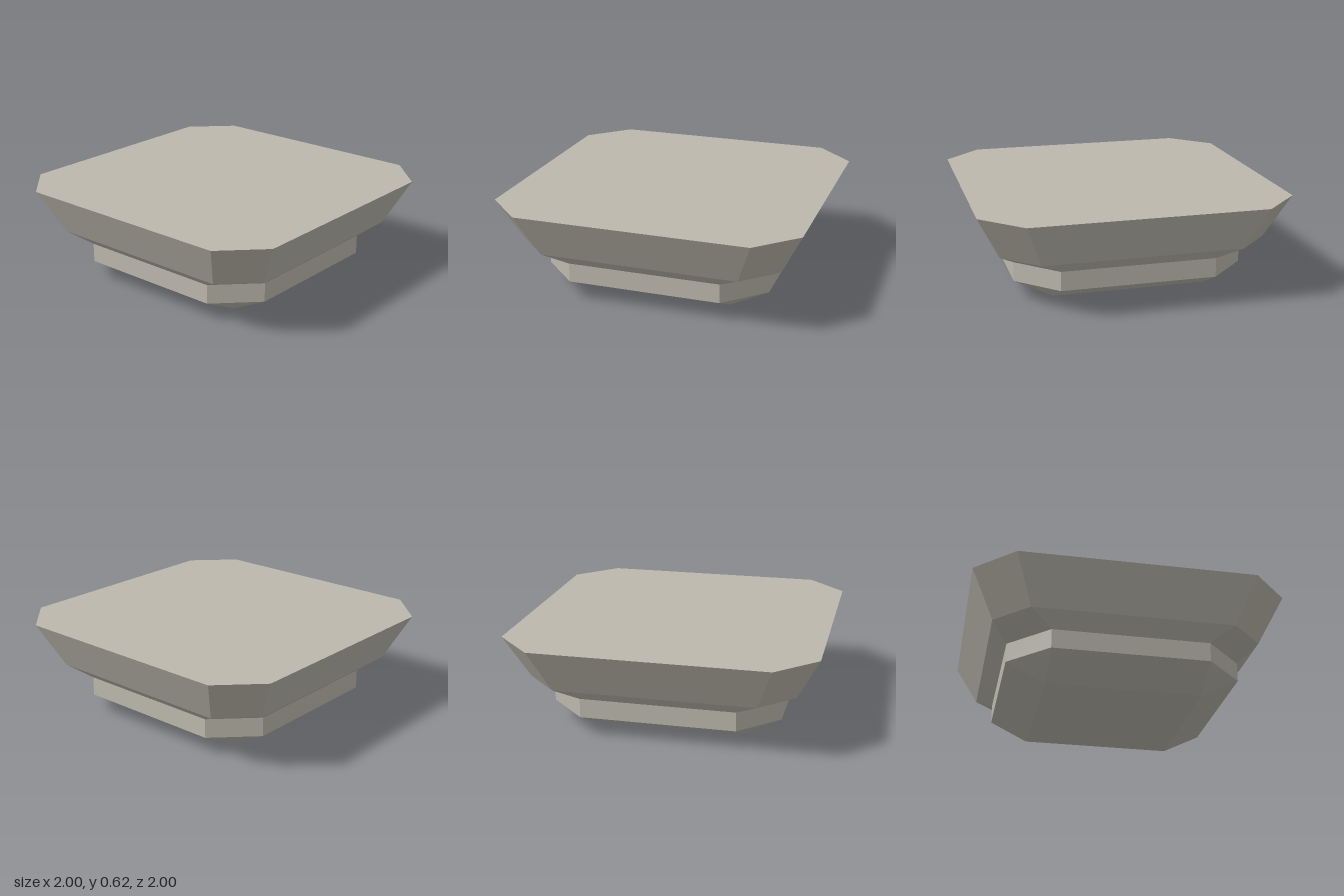
import * as THREE from 'three';

// Square with cut corners: h = half width, f = half length of each flat side
function ring({ y, h, f }) {
  return [[h, -f], [h, f], [f, h], [-f, h], [-h, f], [-h, -f], [-f, -h], [f, -h]]
    .map(([x, z]) => new THREE.Vector3(x, y, z));
}

// Faceted band between two rings, optionally closed below or above
function band(lower, upper, capBottom, capTop) {
  const lo = ring(lower), up = ring(upper), points = [];
  const tri = (a, b, c) => {
    if (new THREE.Triangle(a, b, c).getArea() > 1e-6) points.push(a, b, c);
  };
  for (let i = 0; i < 8; i++) {
    const j = (i + 1) % 8;
    tri(lo[i], up[i], lo[j]);
    tri(lo[j], up[i], up[j]);
    if (capBottom) tri(new THREE.Vector3(0, lower.y, 0), lo[i], lo[j]);
    if (capTop) tri(new THREE.Vector3(0, upper.y, 0), up[j], up[i]);
  }
  const geometry = new THREE.BufferGeometry().setFromPoints(points);
  geometry.computeVertexNormals();
  return geometry;
}

export function createModel() {
  const model = new THREE.Group();
  model.name = 'steppedStoneBlock';
  const stone = new THREE.MeshStandardMaterial({ color: 0xbcb8ad, flatShading: true });
  stone.name = 'stone';

  // Profile from the ground up; the foot ends in a plain square
  const profile = [
    { y: 0, h: 0.5, f: 0.5 },
    { y: 0.125, h: 0.75, f: 0.5 },
    { y: 0.25, h: 0.75, f: 0.5 },
    { y: 0.335, h: 0.855, f: 0.641 },
    { y: 0.625, h: 1, f: 0.75 },
  ];
  const names = ['taperedFoot', 'neck', 'collar', 'flaredTop'];
  names.forEach((name, i) => {
    const mesh = new THREE.Mesh(band(profile[i], profile[i + 1], i === 0, i === names.length - 1), stone);
    mesh.name = name;
    model.add(mesh);
  });
  return model;
}
